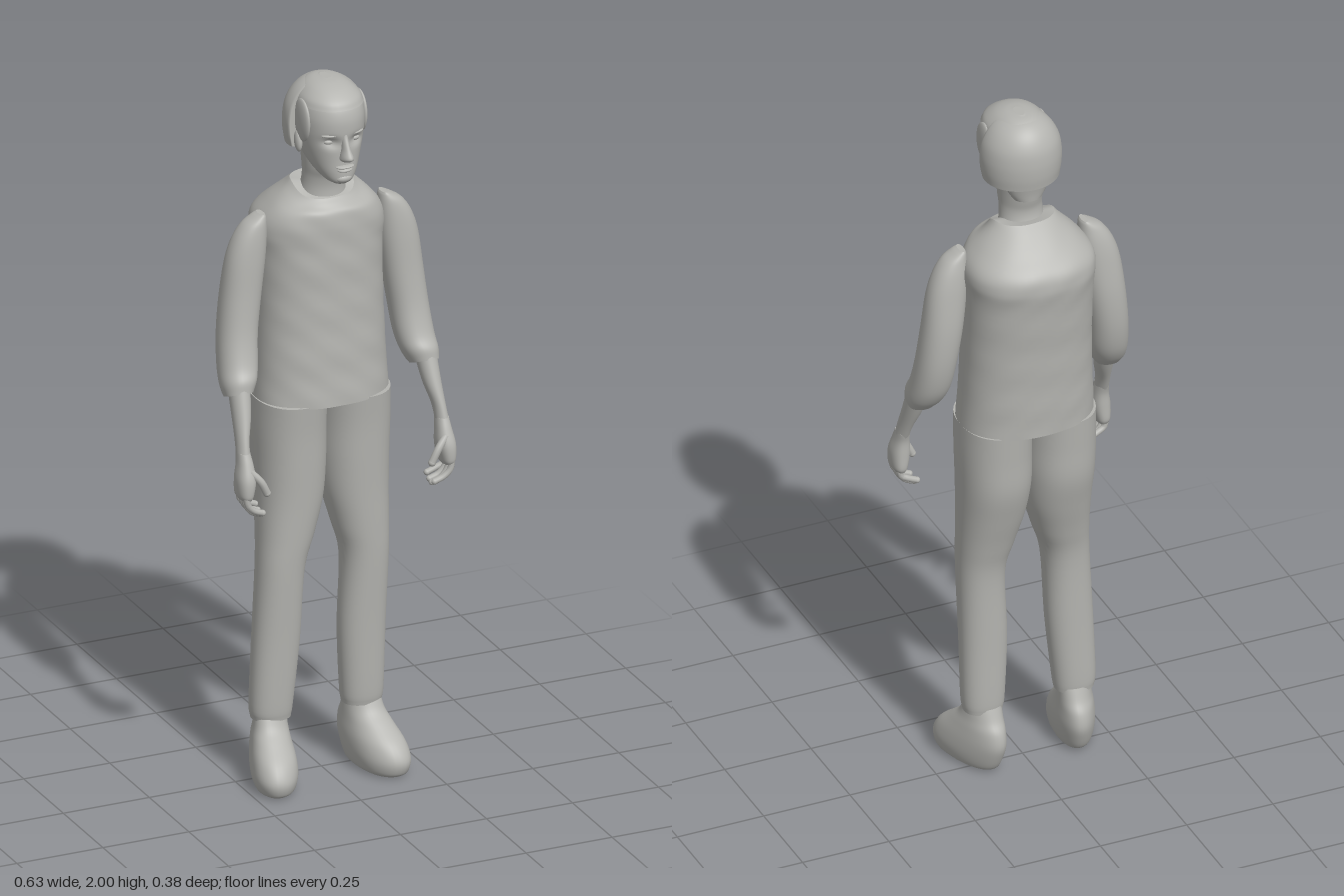
import * as THREE from 'three';

const grey = new THREE.MeshStandardMaterial({ color: 0xb4b4b0 });
grey.name = 'plain grey';

// Closed, smooth loft through horizontal sections [y, x0, x1, z0, z1], lowest first.
// n is the roundness (2 = ellipse); rule may move each point.
function loft(sections, { n = 2, rule = null, around = 36, steps = 5 } = {}) {
  const low = new THREE.CatmullRomCurve3(sections.map(s => new THREE.Vector3(s[1], s[0], s[3])), false, 'catmullrom');
  const high = new THREE.CatmullRomCurve3(sections.map(s => new THREE.Vector3(s[2], s[0], s[4])), false, 'catmullrom');
  const rows = (sections.length - 1) * steps, pos = [], idx = [];
  const power = v => Math.sign(v) * Math.abs(v) ** (2 / n);
  const ring = i => {
    const a = low.getPoint(i / rows), b = high.getPoint(i / rows);
    for (let j = 0; j < around; j++) {
      const t = j / around * Math.PI * 2;
      const p = new THREE.Vector3(
        (a.x + b.x) / 2 + (b.x - a.x) / 2 * power(Math.cos(t)), a.y,
        (a.z + b.z) / 2 + (b.z - a.z) / 2 * power(Math.sin(t)));
      if (rule) rule(p);
      pos.push(p.x, p.y, p.z);
    }
  };
  for (let i = 0; i <= rows; i++) ring(i);
  for (let i = 0; i < rows; i++) for (let j = 0; j < around; j++) {
    const k = (j + 1) % around, a = i * around, b = a + around;
    idx.push(a + j, b + j, b + k, a + j, b + k, a + k);
  }
  // flat end caps with their own vertices
  for (const end of [0, rows]) {
    const start = pos.length / 3, c = new THREE.Vector3();
    ring(end);
    for (let j = 0; j < around; j++) c.add(new THREE.Vector3().fromArray(pos, (start + j) * 3));
    c.divideScalar(around);
    pos.push(c.x, c.y, c.z);
    for (let j = 0; j < around; j++) {
      const k = (j + 1) % around;
      idx.push(start + around, start + (end ? k : j), start + (end ? j : k));
    }
  }
  const g = new THREE.BufferGeometry();
  g.setAttribute('position', new THREE.Float32BufferAttribute(pos, 3));
  g.setIndex(idx);
  g.computeVertexNormals();
  return g;
}

function add(parent, name, geometry) {
  const m = new THREE.Mesh(geometry, grey);
  m.name = name;
  parent.add(m);
  return m;
}

function group(parent, name) {
  const g = new THREE.Group();
  g.name = name;
  parent.add(g);
  return g;
}

function blob(parent, name, x, y, z, rx, ry, rz) {
  const m = add(parent, name, new THREE.SphereGeometry(1, 20, 14));
  m.position.set(x, y, z);
  m.scale.set(rx, ry, rz);
  return m;
}

// Mirror sections to the other side; shift(y) moves them sideways.
const onSide = (sections, s, shift = () => 0) => s > 0 ? sections
  : sections.map(([y, a, b, c, d]) => [y, -b - shift(y), -a - shift(y), c, d]);

function buildTorso(root) {
  add(root, 'shirt', loft([
    [1.085, -0.185, 0.188, -0.155, 0.122], [1.2, -0.178, 0.182, -0.16, 0.116],
    [1.35, -0.172, 0.178, -0.17, 0.11], [1.5, -0.172, 0.178, -0.186, 0.108],
    [1.56, -0.176, 0.184, -0.192, 0.107], [1.6, -0.168, 0.175, -0.183, 0.105],
    [1.64, -0.138, 0.143, -0.142, 0.1], [1.68, -0.1, 0.103, -0.095, 0.085],
    [1.7, -0.084, 0.086, -0.07, 0.07],
  ], {
    n: 2.3, around: 56, steps: 6,
    rule: p => {
      // neckline dips at the front
      const k = THREE.MathUtils.smoothstep(p.y, 1.62, 1.7) * THREE.MathUtils.smoothstep(p.z, -0.02, 0.07);
      // faint creases in the cloth
      p.z += 0.0015 * Math.sin(p.y * 60 + p.x * 25) * Math.sin(p.x * 30 + p.y * 9);
      p.y -= 0.035 * k;
    },
  }));
}

function buildLeg(root, s) {
  const leg = group(root, s > 0 ? 'leftLeg' : 'rightLeg');
  const lean = y => 0.042 * THREE.MathUtils.clamp((0.75 - y) / 0.55, 0, 0.85);
  add(leg, 'trouserLeg', loft(onSide([
    [0.175, 0.06, 0.168, -0.042, 0.05], [0.22, 0.054, 0.173, -0.045, 0.056],
    [0.4, 0.046, 0.176, -0.046, 0.066], [0.6, 0.052, 0.181, -0.052, 0.08],
    [0.7, 0.03, 0.183, -0.072, 0.086], [0.8, 0.006, 0.185, -0.1, 0.091],
    [0.9, -0.004, 0.188, -0.125, 0.097], [1.0, -0.004, 0.19, -0.132, 0.103],
    [1.09, -0.004, 0.188, -0.138, 0.112],
  ], s, lean), { n: 2.25 }));
  // shoe widens and turns out toward the toe
  add(leg, 'shoe', loft(onSide([
    [0, 0.082, 0.158, -0.035, 0.15], [0.012, 0.07, 0.17, -0.055, 0.165],
    [0.045, 0.063, 0.177, -0.072, 0.171], [0.085, 0.062, 0.176, -0.084, 0.148],
    [0.125, 0.066, 0.17, -0.078, 0.1], [0.155, 0.068, 0.164, -0.06, 0.065],
    [0.19, 0.07, 0.16, -0.045, 0.045],
  ], s, lean), {
    n: 2.2,
    rule: p => {
      const mid = s > 0 ? 0.12 : -0.12 - 0.036;
      p.x = mid + (p.x - mid) * (1 + 1.6 * Math.min(p.z, 0.12)) + s * 0.2 * p.z;
    },
  }));
}

function buildArm(root, s) {
  const arm = group(root, s > 0 ? 'leftArm' : 'rightArm');
  add(arm, 'sleeve', loft(onSide([
    [1.135, 0.232, 0.308, 0.022, 0.105], [1.17, 0.215, 0.312, -0.01, 0.1],
    [1.22, 0.203, 0.309, -0.035, 0.082], [1.3, 0.194, 0.302, -0.052, 0.062],
    [1.4, 0.18, 0.291, -0.057, 0.052], [1.5, 0.168, 0.277, -0.05, 0.048],
    [1.56, 0.164, 0.258, -0.042, 0.044], [1.6, 0.164, 0.232, -0.032, 0.038],
    [1.62, 0.166, 0.203, -0.024, 0.03], [1.628, 0.17, 0.186, -0.018, 0.024],
  ], s), {
    n: 2.2,
    // cuff is cut at a slant, higher at the front
    rule: p => { p.y += 0.4 * Math.max(0, p.z - 0.04) * THREE.MathUtils.smoothstep(1.25 - p.y, 0, 0.1); },
  }));
  add(arm, 'forearm', loft(onSide([
    [0.99, 0.272, 0.307, 0.112, 0.163], [1.04, 0.268, 0.303, 0.09, 0.148],
    [1.1, 0.252, 0.301, 0.06, 0.128], [1.18, 0.24, 0.3, 0.025, 0.1],
  ], s)));
  const hand = group(arm, 'hand');
  add(hand, 'palm', loft(onSide([
    [0.885, 0.278, 0.308, 0.118, 0.182], [0.9, 0.272, 0.315, 0.112, 0.188],
    [0.94, 0.265, 0.316, 0.112, 0.187], [0.98, 0.268, 0.309, 0.112, 0.172],
    [1.01, 0.272, 0.305, 0.105, 0.158],
  ], s), { n: 2.4 }));
  const digit = (name, points, r) => {
    const path = points.map(p => new THREE.Vector3(s * p[0], p[1], p[2]));
    add(hand, name, new THREE.TubeGeometry(new THREE.CatmullRomCurve3(path), 10, r, 10));
    const e = path[path.length - 1];
    blob(hand, name + 'Tip', e.x, e.y, e.z, r, r, r);
  };
  // curled fingers, front to back
  [0, 1, 2, 3].forEach(i => {
    const z = 0.176 - i * 0.016, drop = [0.008, 0, 0.004, 0.016][i];
    digit('finger', [[0.3, 0.91, z], [0.294, 0.872, z], [0.276, 0.845 + drop, z - 0.002], [0.25, 0.834 + drop, z - 0.004]], 0.0088);
  });
  digit('thumb', [[0.285, 0.965, 0.168], [0.258, 0.935, 0.178], [0.24, 0.9, 0.178]], 0.0105);
}

function buildHead(root) {
  const head = group(root, 'head');
  add(head, 'neck', loft([
    [1.62, -0.075, 0.075, -0.075, 0.07], [1.68, -0.062, 0.062, -0.05, 0.064],
    [1.72, -0.058, 0.058, -0.042, 0.07], [1.76, -0.06, 0.06, -0.05, 0.085],
    [1.84, -0.065, 0.065, -0.065, 0.09],
  ]));
  add(head, 'face', loft([
    [1.732, -0.022, 0.022, 0.08, 0.138], [1.742, -0.038, 0.038, 0.05, 0.15],
    [1.765, -0.056, 0.056, 0, 0.152], [1.8, -0.072, 0.072, -0.045, 0.151],
    [1.84, -0.083, 0.083, -0.065, 0.152], [1.88, -0.088, 0.088, -0.07, 0.156],
    [1.92, -0.088, 0.088, -0.072, 0.155], [1.955, -0.08, 0.08, -0.066, 0.142],
    [1.98, -0.062, 0.062, -0.05, 0.112], [1.992, -0.04, 0.04, -0.03, 0.078],
    [1.997, -0.014, 0.014, 0, 0.035],
  ], {
    n: 2.2, around: 72, steps: 6,
    // eye sockets
    rule: p => {
      if (p.z > 0.05) p.z -= 0.014 * Math.exp(-(((Math.abs(p.x) - 0.036) / 0.02) ** 2) - ((p.y - 1.856) / 0.014) ** 2);
    },
  }));
  add(head, 'nose', loft([
    [1.802, -0.009, 0.009, 0.13, 0.162], [1.81, -0.017, 0.017, 0.13, 0.181],
    [1.82, -0.016, 0.016, 0.13, 0.19], [1.84, -0.011, 0.011, 0.13, 0.176],
    [1.868, -0.009, 0.009, 0.13, 0.16], [1.885, -0.01, 0.01, 0.13, 0.154],
  ], { around: 24 }));
  blob(head, 'upperLip', 0, 1.786, 0.148, 0.027, 0.005, 0.016);
  blob(head, 'lowerLip', 0, 1.776, 0.147, 0.022, 0.006, 0.015);
  blob(head, 'chin', 0, 1.75, 0.138, 0.025, 0.014, 0.017);
  for (const s of [-1, 1]) {
    blob(head, 'eye', s * 0.036, 1.855, 0.126, 0.016, 0.008, 0.011);
    const brow = blob(head, 'eyebrow', s * 0.038, 1.876, 0.139, 0.024, 0.005, 0.009);
    brow.rotation.y = s * 0.35;
    const ear = blob(head, 'ear', s * 0.088, 1.835, 0.045, 0.01, 0.03, 0.016);
    ear.rotation.x = -0.15;
    blob(head, 'sideHair', s * 0.083, 1.9, 0.06, 0.012, 0.06, 0.045);
  }
}

function buildHair(root) {
  const hair = group(root, 'hair');
  // rounded cap over the back of the head, cut off flat in front
  const cap = loft([
    [1.815, -0.104, 0.104, -0.086, 0.11], [1.85, -0.11, 0.11, -0.091, 0.12],
    [1.89, -0.111, 0.111, -0.092, 0.125], [1.93, -0.103, 0.103, -0.086, 0.12],
    [1.965, -0.082, 0.082, -0.068, 0.105], [1.988, -0.052, 0.052, -0.04, 0.08],
    [2.0, -0.012, 0.012, 0, 0.045],
  ], { around: 64, rule: p => { p.z = Math.min(p.z, 0.034); } });
  add(hair, 'backCap', cap);
  // short hair over the crown
  add(hair, 'crown', loft([
    [1.945, -0.087, 0.087, -0.06, 0.15], [1.965, -0.078, 0.078, -0.05, 0.138],
    [1.985, -0.058, 0.058, -0.04, 0.108], [1.996, -0.036, 0.036, -0.02, 0.075],
    [2.0, -0.012, 0.012, 0.01, 0.045],
  ], { n: 2.2 }));
  // strands at the nape
  add(hair, 'nape', loft([
    [1.765, -0.04, 0.04, -0.062, 0], [1.79, -0.055, 0.055, -0.066, 0.01], [1.83, -0.07, 0.07, -0.075, 0.02],
  ]));
}

export function createModel() {
  const root = new THREE.Group();
  root.name = 'standingMan';
  buildTorso(root);
  for (const s of [1, -1]) {
    buildLeg(root, s);
    buildArm(root, s);
  }
  buildHead(root);
  buildHair(root);
  return root;
}
